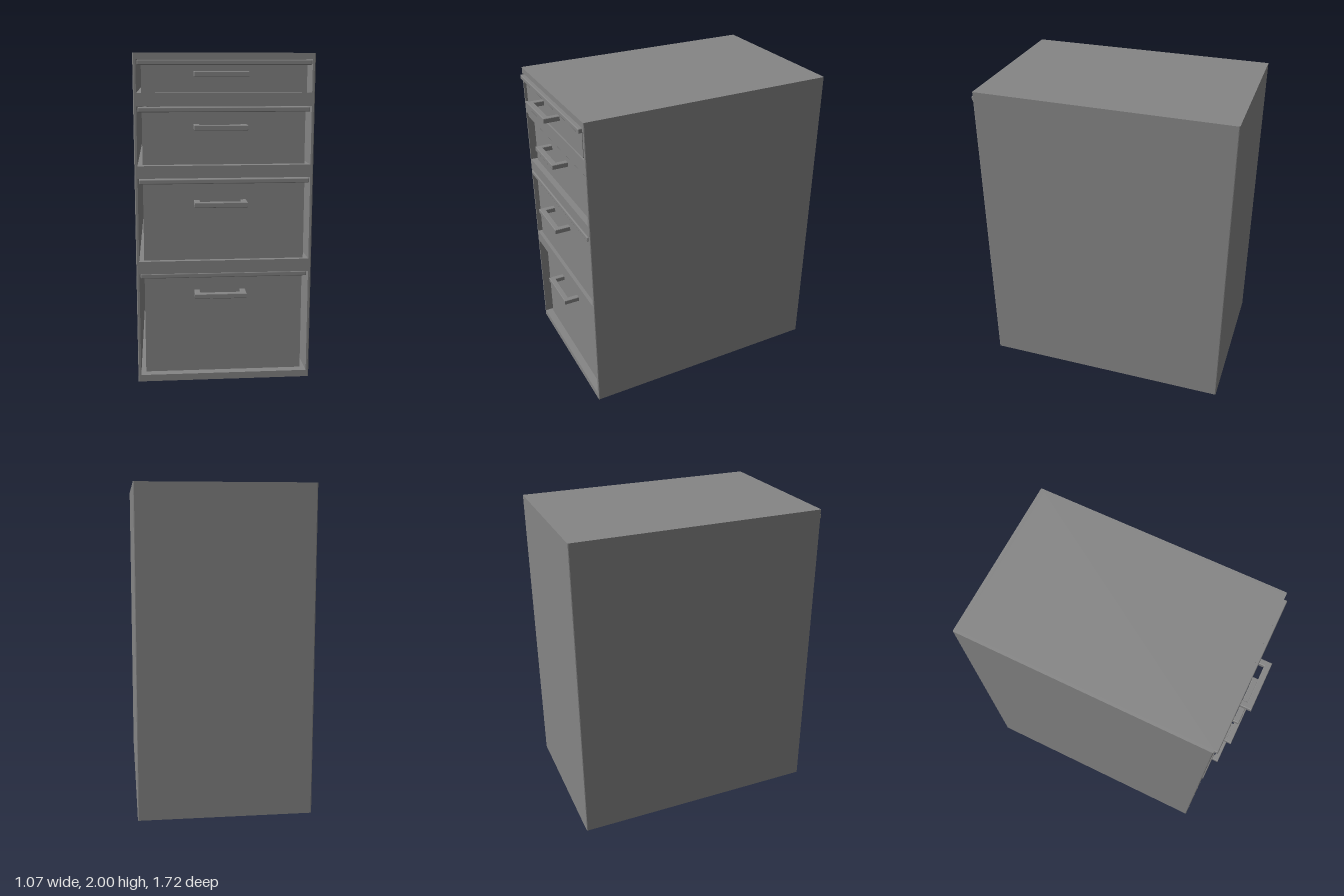
import * as THREE from 'three';
import { RoundedBoxGeometry } from 'three/addons/geometries/RoundedBoxGeometry.js';

const material = new THREE.MeshStandardMaterial({ color: 0x858585 });

// Opening (bottom, top), handle height and front panel position of each drawer
const drawers = [
  { bottom: 0.042, top: 0.687, handleY: 0.555, z: 0.72 },
  { bottom: 0.765, top: 1.27, handleY: 1.12, z: 0.745 },
  { bottom: 1.345, top: 1.693, handleY: 1.572, z: 0.73 },
  { bottom: 1.77, top: 1.965, handleY: 1.88, z: 0.76 },
];
const HEIGHT = 2, OPEN = 0.515, HALF = 0.533, FRONT = 0.768, BACK = -0.857, WALL = 0.03;

function add(parent, name, geometry, x = 0, y = 0, z = 0) {
  const mesh = new THREE.Mesh(geometry, material);
  mesh.name = name;
  mesh.position.set(x, y, z);
  parent.add(mesh);
}

// Box given by its lower and upper corners
function span(parent, name, [x0, y0, z0], [x1, y1, z1], radius = 0) {
  const size = [x1 - x0, y1 - y0, z1 - z0];
  const geometry = radius ? new RoundedBoxGeometry(...size, 2, radius) : new THREE.BoxGeometry(...size);
  add(parent, name, geometry, (x0 + x1) / 2, (y0 + y1) / 2, (z0 + z1) / 2);
}

// Extrudes a plan outline of [x, z] points upwards from y = 0
function extrudeUp(points, options) {
  const shape = new THREE.Shape(points.map(([x, z]) => new THREE.Vector2(x, -z)));
  return new THREE.ExtrudeGeometry(shape, options).rotateX(-Math.PI / 2);
}

// Cabinet: U-shaped wall (sides and back) with rails closing the front between the drawers
function cabinet() {
  const group = new THREE.Group();
  group.name = 'cabinet';
  const c = 0.006;
  const half = [
    [HALF - c, BACK], [HALF - c * 0.3, BACK + c * 0.3], [HALF, BACK + c],
    [HALF, FRONT - c], [HALF - c * 0.3, FRONT - c * 0.3], [HALF - c, FRONT],
    [OPEN, FRONT], [OPEN, BACK + WALL],
  ];
  const mirrored = half.map(([x, z]) => [-x, z]).reverse();
  add(group, 'walls', extrudeUp([...half, ...mirrored], { depth: HEIGHT, bevelEnabled: false }));

  const edges = [0, ...drawers.flatMap((d) => [d.bottom, d.top]), HEIGHT];
  for (let i = 0; i < edges.length; i += 2) {
    span(group, 'rail', [-OPEN, edges[i], BACK + WALL], [OPEN, edges[i + 1], FRONT]);
  }
  return group;
}

// U-shaped pull whose legs meet the drawer front at z = 0
function handleGeometry() {
  const b = 0.004, h = 0.031;
  const points = [[-0.157, -0.01], [-0.157, 0.1], [0.157, 0.1], [0.157, -0.01],
    [0.122, -0.01], [0.122, 0.063], [-0.122, 0.063], [-0.122, -0.01]];
  const geometry = extrudeUp(points, {
    depth: h - 2 * b, bevelThickness: b, bevelSize: b, bevelOffset: -b, bevelSegments: 2,
  });
  return geometry.translate(0, b - h / 2, 0);
}

// Open-topped tray with a front panel, overhanging lip and handle
function drawer({ bottom, top, handleY, z }, handle) {
  const group = new THREE.Group();
  group.name = 'drawer';
  const w = 0.485, t = 0.02, back = -0.78;
  const y0 = bottom + 0.002, y1 = top - 0.034;
  span(group, 'frontPanel', [-w, y0, z - t], [w, y1 + 0.005, z]);
  span(group, 'backWall', [-w, y0, back], [w, y1, back + t]);
  span(group, 'floor', [-w + t, y0, back + t], [w - t, y0 + t, z - t]);
  for (const s of [-1, 1]) {
    const x = s * (w - t / 2);
    span(group, 'sideWall', [x - t / 2, y0, back + t], [x + t / 2, y1, z - t]);
  }
  span(group, 'lip', [-0.508, y1, z - 0.04], [0.508, top - 0.005, z + 0.03], 0.006);
  add(group, 'handle', handle, -0.025, handleY, z);
  return group;
}

export function createModel() {
  const model = new THREE.Group();
  model.name = 'drawerCabinet';
  model.add(cabinet());
  const handle = handleGeometry();
  for (const d of drawers) model.add(drawer(d, handle));
  return model;
}
